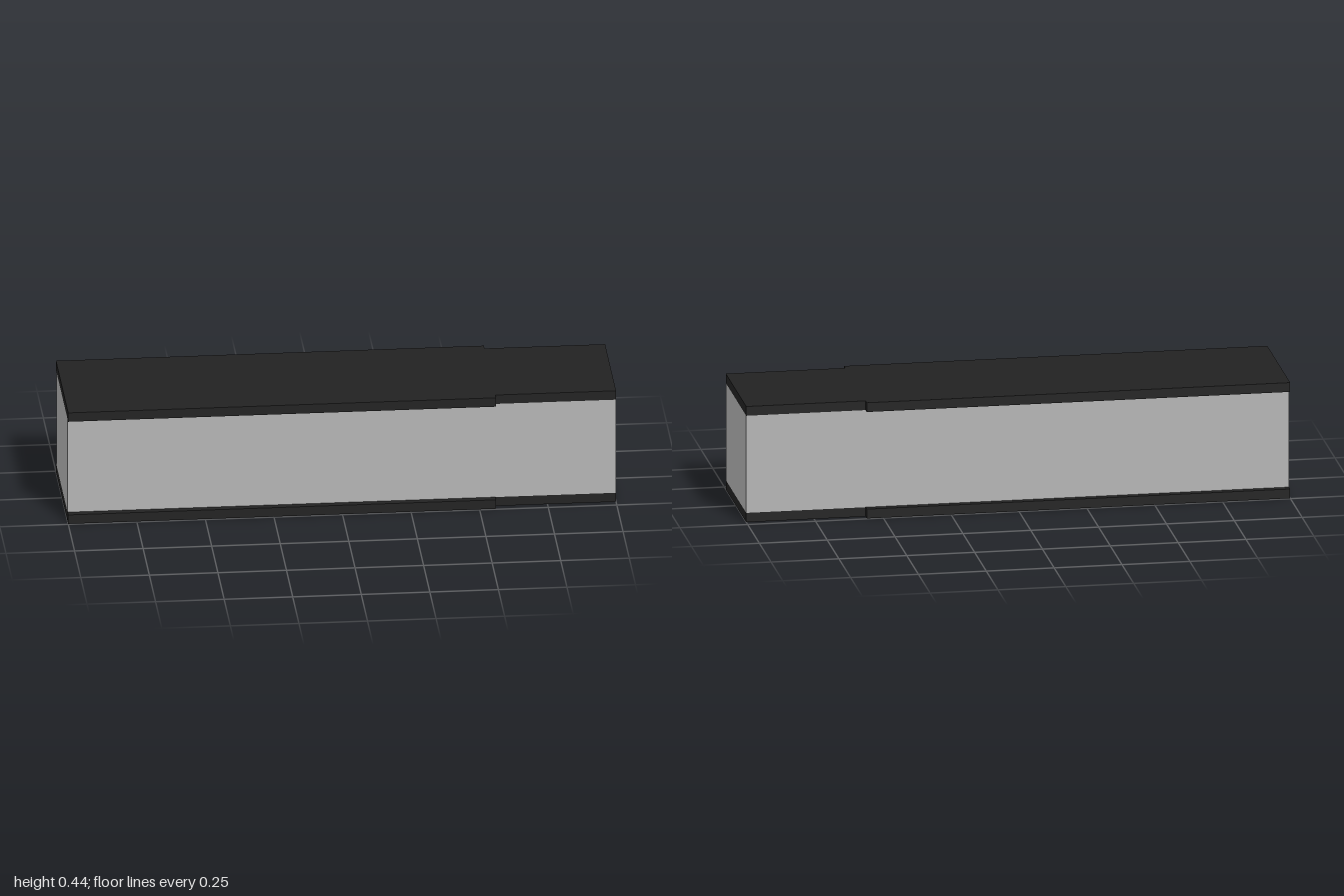
import * as THREE from 'three';

const HEIGHT = 0.437, PLATE = 0.035;
const WIDE = 0.245, NARROW = 0.219, STEP_X = 0.56;

export function createModel() {
  const model = new THREE.Group();
  const black = new THREE.MeshStandardMaterial({ color: 0x222222 });
  black.name = 'black';
  const grey = new THREE.MeshStandardMaterial({ color: 0xb5b5b5 });
  grey.name = 'grey';

  // Plate outline: wide along most of its length, narrow at the +x end
  const outline = new THREE.Shape([
    [-1, -WIDE], [STEP_X, -WIDE], [STEP_X, -NARROW], [1, -NARROW],
    [1, NARROW], [STEP_X, NARROW], [STEP_X, WIDE], [-1, WIDE],
  ].map(([x, z]) => new THREE.Vector2(x, z)));
  const plateGeometry = new THREE.ExtrudeGeometry(outline, { depth: PLATE, bevelEnabled: false });
  plateGeometry.rotateX(-Math.PI / 2);

  // Matching floor and roof plates
  for (const [name, y] of [['floorPlate', 0], ['roofPlate', HEIGHT - PLATE]]) {
    const plate = new THREE.Mesh(plateGeometry, black);
    plate.name = name;
    plate.position.y = y;
    model.add(plate);
  }

  // Plain box body between the plates
  const body = new THREE.Mesh(new THREE.BoxGeometry(2, HEIGHT - 2 * PLATE, 2 * NARROW), grey);
  body.name = 'body';
  body.position.y = HEIGHT / 2;
  model.add(body);

  return model;
}
